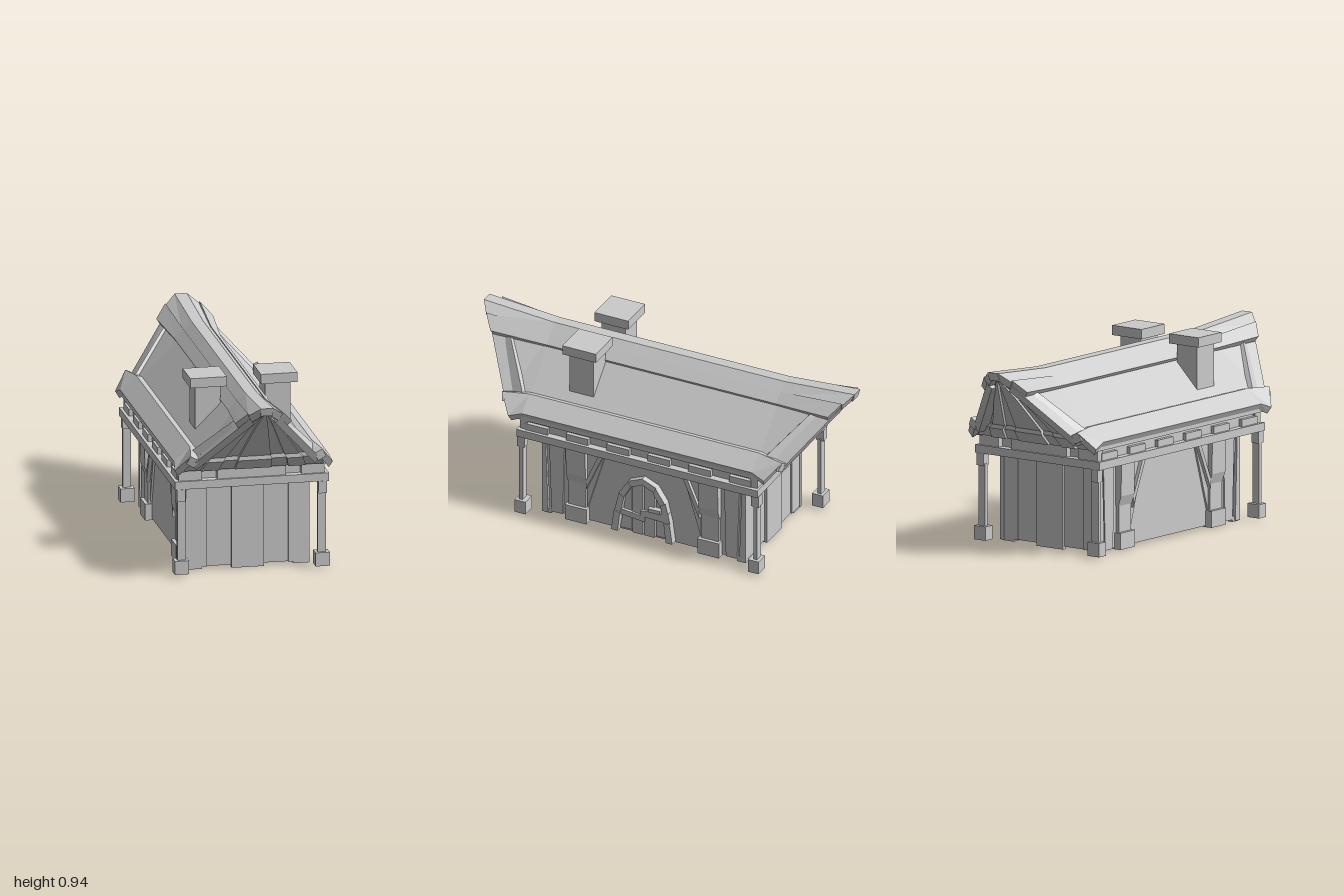
import * as THREE from 'three';

const mat = new THREE.MeshStandardMaterial({ color: 0xcccccc, flatShading: true });

export function createModel() {
  const root = new THREE.Group();

  function add(geo, name, parent = root) {
    const mesh = new THREE.Mesh(geo, mat);
    mesh.name = name;
    parent.add(mesh);
    return mesh;
  }

  // box given by its minimum and maximum corners
  function box(name, x0, x1, y0, y1, z0, z1, parent) {
    const g = new THREE.BoxGeometry(Math.abs(x1 - x0), y1 - y0, Math.abs(z1 - z0));
    g.translate((x0 + x1) / 2, (y0 + y1) / 2, (z0 + z1) / 2);
    return add(g, name, parent);
  }

  // closed solid through a row of four-cornered sections, always facing outwards
  function loft(rings) {
    const tris = [];
    const quad = (a, b, c, d) => tris.push([a, b, c], [a, c, d]);
    for (let i = 0; i < rings.length - 1; i++) {
      for (let k = 0; k < 4; k++) {
        const n = (k + 1) % 4;
        quad(rings[i][k], rings[i][n], rings[i + 1][n], rings[i + 1][k]);
      }
    }
    quad(...[...rings[0]].reverse());
    quad(...rings[rings.length - 1]);
    let volume = 0;
    for (const [a, b, c] of tris) {
      volume += new THREE.Vector3(...a).dot(new THREE.Vector3(...b).cross(new THREE.Vector3(...c)));
    }
    if (volume < 0) tris.forEach((t) => t.reverse());
    const g = new THREE.BufferGeometry();
    g.setAttribute('position', new THREE.Float32BufferAttribute(tris.flat(2), 3));
    g.computeVertexNormals();
    return g;
  }

  // side-wall outline in [z, y], given thickness from x0 to x1
  function sidePanel(name, pts, x0, x1, parent) {
    const shape = new THREE.Shape(pts.map(([z, y]) => new THREE.Vector2(-z, y)));
    const g = new THREE.ExtrudeGeometry(shape, { depth: x1 - x0, bevelEnabled: false });
    g.rotateY(Math.PI / 2);
    g.translate(x0, 0, 0);
    return add(g, name, parent);
  }

  // walls and top frame
  box('walls', -0.29, 0.29, 0.015, 0.44, -0.535, 0.535);
  box('topFrame', -0.38, 0.38, 0.44, 0.48, -0.65, 0.65);
  box('atticBase', -0.345, 0.345, 0.48, 0.55, -0.61, 0.61);

  // roof strips: upper and lower edge as [xMid, yMid, xEnd, yEnd, zEnd], then the thickness offset
  const strips = [
    ['ridgeTop', [0, 0.9, 0, 0.928, 1], [0.028, 0.9, 0.03, 0.928, 1], [0, -0.04]],
    ['ridgeSide', [0.028, 0.9, 0.03, 0.928, 1], [0.075, 0.855, 0.085, 0.885, 0.96], [-0.02, -0.035]],
    ['ridgeFlap', [0.07, 0.865, 0.085, 0.895, 0.96], [0.115, 0.82, 0.14, 0.835, 0.91], [-0.02, -0.03]],
    ['roofSlope', [0.06, 0.85, 0.075, 0.865, 0.95], [0.315, 0.595, 0.315, 0.59, 0.745], [-0.022, -0.03]],
    ['eaveTop', [0.265, 0.635, 0.285, 0.615, 0.76], [0.3, 0.643, 0.325, 0.635, 0.755], [0.02, -0.04]],
    ['eaveFlap', [0.3, 0.643, 0.325, 0.635, 0.755], [0.38, 0.575, 0.39, 0.55, 0.69], [-0.018, -0.032]],
  ];
  for (const s of [-1, 1]) {
    for (const [name, a, b, [dx, dy]] of strips) {
      const corner = (p, end, inner) => {
        const x = (end ? p[2] : p[0]) + (inner ? dx : 0);
        const y = (end ? p[3] : p[1]) + (inner ? dy : 0);
        const z = end ? end * (p[4] - (inner ? 0.01 : 0)) : 0;
        return [s * x, y, z];
      };
      const ring = (end, z) => [[a, 0], [b, 0], [b, 1], [a, 1]].map(([p, inner]) => {
        const c = corner(p, end, inner);
        return end ? c : [c[0], c[1], z];
      });
      add(loft([ring(-1), ring(0, -0.62), ring(0, 0.62), ring(1)]), name);
    }
    // eave fillet under the roof edge
    box('eaveBoard', s * 0.335, s * 0.365, 0.53, 0.56, -0.66, 0.66);
  }

  // gable planks fan out from the apex; rows are [y, z, half width]
  const rows = [[0.88, 0.935, 0.02], [0.84, 0.895, 0.07], [0.78, 0.84, 0.135],
    [0.61, 0.7, 0.295], [0.59, 0.69, 0.32], [0.535, 0.645, 0.35]];
  const edges = [-1, -0.74, -0.49, -0.26, 0.26, 0.49, 0.74, 1];
  for (const end of [-1, 1]) {
    for (let i = 0; i < edges.length - 1; i++) {
      const out = i % 2 ? 0.022 : 0.006;
      add(loft(rows.map(([y, z, w], r) => {
        const o = out + (r > 3 ? 0.012 : 0);
        const x0 = edges[i] * w, x1 = edges[i + 1] * w;
        return [[x0, y, end * (z + o)], [x1, y, end * (z + o)],
          [x1, y + 0.03, end * (z - 0.04)], [x0, y + 0.03, end * (z - 0.04)]];
      })), 'gablePlank');
    }
    // joist ends below the gable
    for (const [x0, x1] of [[-0.36, -0.245], [-0.17, 0], [0, 0.17], [0.245, 0.36]]) {
      box('gableJoist', x0, x1, 0.48, 0.535, end * 0.6, end * 0.64);
    }
    // end wall planks
    box('endPlankCentre', -0.08, 0.08, 0.002, 0.44, end * 0.53, end * 0.553);
    for (const s of [-1, 1]) {
      box('endPlank', s * 0.08, s * 0.2, 0.015, 0.44, end * 0.53, end * 0.54);
      box('cornerPlank', s * 0.2, s * 0.292, 0.015, 0.44, end * 0.52, end * 0.548);
      box('cornerFoot', s * 0.225, s * 0.3, 0.004, 0.03, end * 0.5, end * 0.545);

      // porch posts
      box('postFoot', s * 0.312, s * 0.382, 0.015, 0.083, end * 0.6, end * 0.658);
      box('post', s * 0.325, s * 0.366, 0.08, 0.39, end * 0.622, end * 0.642);
      box('postHead', s * 0.328, s * 0.37, 0.38, 0.44, end * 0.612, end * 0.652);
    }
  }

  // joist ends along the eaves
  for (const s of [-1, 1]) {
    for (let i = 0; i < 6; i++) {
      const z = -0.55 + i * 0.22;
      box('eaveJoist', s * 0.33, s * 0.365, 0.48, 0.515, z - 0.06, z + 0.06);
    }
  }

  // timber framing on both long walls
  for (const s of [-1, 1]) {
    const side = new THREE.Group();
    side.name = 'sideFraming';
    side.rotation.y = s > 0 ? 0 : Math.PI;
    root.add(side);
    for (const e of [-1, 1]) {
      box('pillarFoot', 0.26, 0.325, 0.008, 0.09, e * 0.3, e * 0.415, side);
      box('pillar', 0.26, 0.308, 0.09, 0.26, e * 0.31, e * 0.405, side);
      add(loft([[0.22, 0.308], [0.27, 0.325], [0.44, 0.328]].map(([y, x]) =>
        [[0.26, y, e * 0.305], [x, y, e * 0.305], [x, y, e * 0.41], [0.26, y, e * 0.41]])), 'pillarHead', side);
      sidePanel('gusset', [[e * 0.305, 0.09], [e * 0.305, 0.44], [e * 0.2, 0.44]], 0.27, 0.3, side);
      sidePanel('brace', [[e * 0.305, 0.2], [e * 0.305, 0.25], [e * 0.225, 0.44], [e * 0.2, 0.44]], 0.27, 0.318, side);
      sidePanel('wallBoard', [[e * 0.44, 0.015], [e * 0.5, 0.015], [e * 0.515, 0.44], [e * 0.43, 0.44]], 0.28, 0.299, side);
      sidePanel('edgeBoard', [[e * 0.515, 0.008], [e * 0.55, 0.008], [e * 0.55, 0.44], [e * 0.53, 0.44]], 0.28, 0.305, side);
    }
  }

  // arched door on the +x wall: surround blocks, planks and bars
  const outer = [[0.165, 0.02], [0.15, 0.13], [0.125, 0.235], [0.075, 0.31], [0, 0.342]];
  const inner = [[0.13, 0.02], [0.118, 0.125], [0.098, 0.215], [0.06, 0.28], [0, 0.308]];
  const door = new THREE.Group();
  door.name = 'door';
  root.add(door);
  for (const e of [-1, 1]) {
    for (let i = 0; i < 4; i++) {
      const pts = [outer[i], outer[i + 1], inner[i + 1], inner[i]].map(([z, y]) => [e * z, y]);
      sidePanel('archBlock', pts, 0.28, i % 2 ? 0.322 : 0.328, door);
    }
    sidePanel('doorPlankInner', [[e * 0.004, 0.02], [e * 0.06, 0.02], [e * 0.06, 0.28], [e * 0.004, 0.305]], 0.28, 0.308, door);
    sidePanel('doorPlankOuter', [[e * 0.065, 0.03], [e * 0.128, 0.03], [e * 0.098, 0.215], [e * 0.065, 0.272]], 0.28, 0.303, door);
  }
  sidePanel('doorBar', [[0.135, 0.115], [0.135, 0.145], [-0.01, 0.13], [-0.01, 0.1]], 0.3, 0.318, door);
  sidePanel('doorBar', [[0.01, 0.13], [0.01, 0.16], [-0.14, 0.18], [-0.14, 0.125]], 0.3, 0.32, door);
  box('doorHandle', 0.3, 0.33, 0.17, 0.19, -0.1, -0.035, door);

  // chimneys
  for (const s of [-1, 1]) {
    box('chimneyShaft', s * 0.11, s * 0.235, 0.665, 0.89, 0.305, 0.435);
    box('chimneyCap', s * 0.084, s * 0.264, 0.89, 0.938, 0.278, 0.46);
  }
  return root;
}
